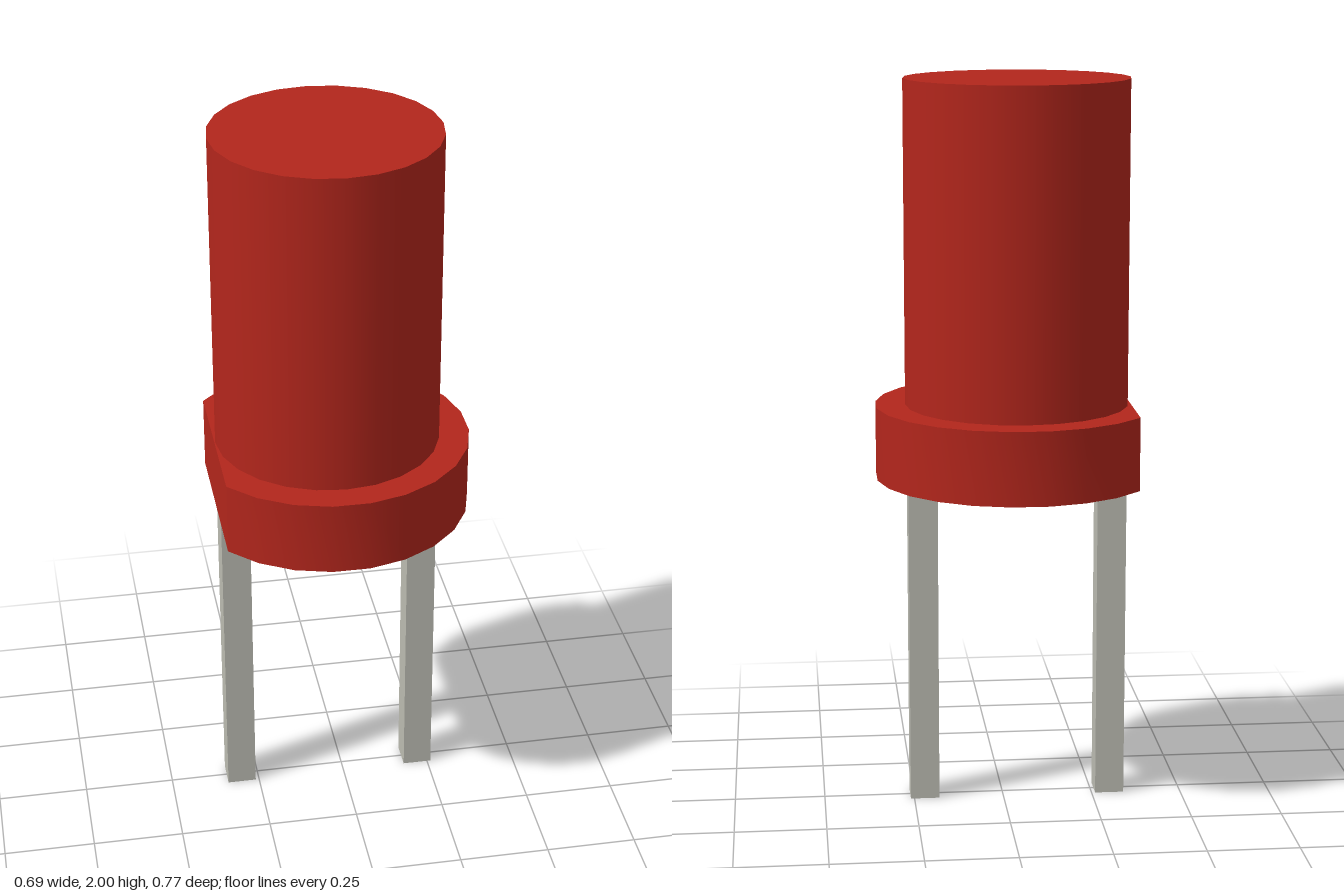
import * as THREE from 'three';
import { toCreasedNormals } from 'three/addons/utils/BufferGeometryUtils.js';

const CENTER_X = -0.04;
const BASE_Y = 0.92, RIM_TOP = 1.12, TOP_Y = 2;

export function createModel() {
  const group = new THREE.Group();
  const red = new THREE.MeshStandardMaterial({ color: 0xb3261c });
  const metal = new THREE.MeshStandardMaterial({ color: 0xbcbcb2 });

  const add = (name, geometry, material, x, y) => {
    const mesh = new THREE.Mesh(geometry, material);
    mesh.name = name;
    mesh.position.set(x, y, 0);
    group.add(mesh);
  };

  // Cylindrical lens with a flat top
  const height = TOP_Y - RIM_TOP;
  add('lens', new THREE.CylinderGeometry(0.305, 0.305, height, 24), red, CENTER_X, RIM_TOP + height / 2);

  // Rim: a 24-sided disc, cut flat on the -x side
  const points = [];
  for (let i = 0; i < 20; i++) {
    const a = THREE.MathUtils.degToRad(-142.5 + i * 15);
    points.push(new THREE.Vector2(Math.cos(a) * 0.387, Math.sin(a) * 0.387));
  }
  const rim = new THREE.ExtrudeGeometry(new THREE.Shape(points), { depth: RIM_TOP - BASE_Y, bevelEnabled: false });
  rim.rotateX(-Math.PI / 2);
  add('rim', toCreasedNormals(rim, Math.PI / 6), red, CENTER_X, BASE_Y);

  // Two square legs
  for (const [name, x] of [['rightLeg', -0.3], ['leftLeg', 0.22]]) {
    add(name, new THREE.BoxGeometry(0.08, BASE_Y, 0.08), metal, x, BASE_Y / 2);
  }

  return group;
}
